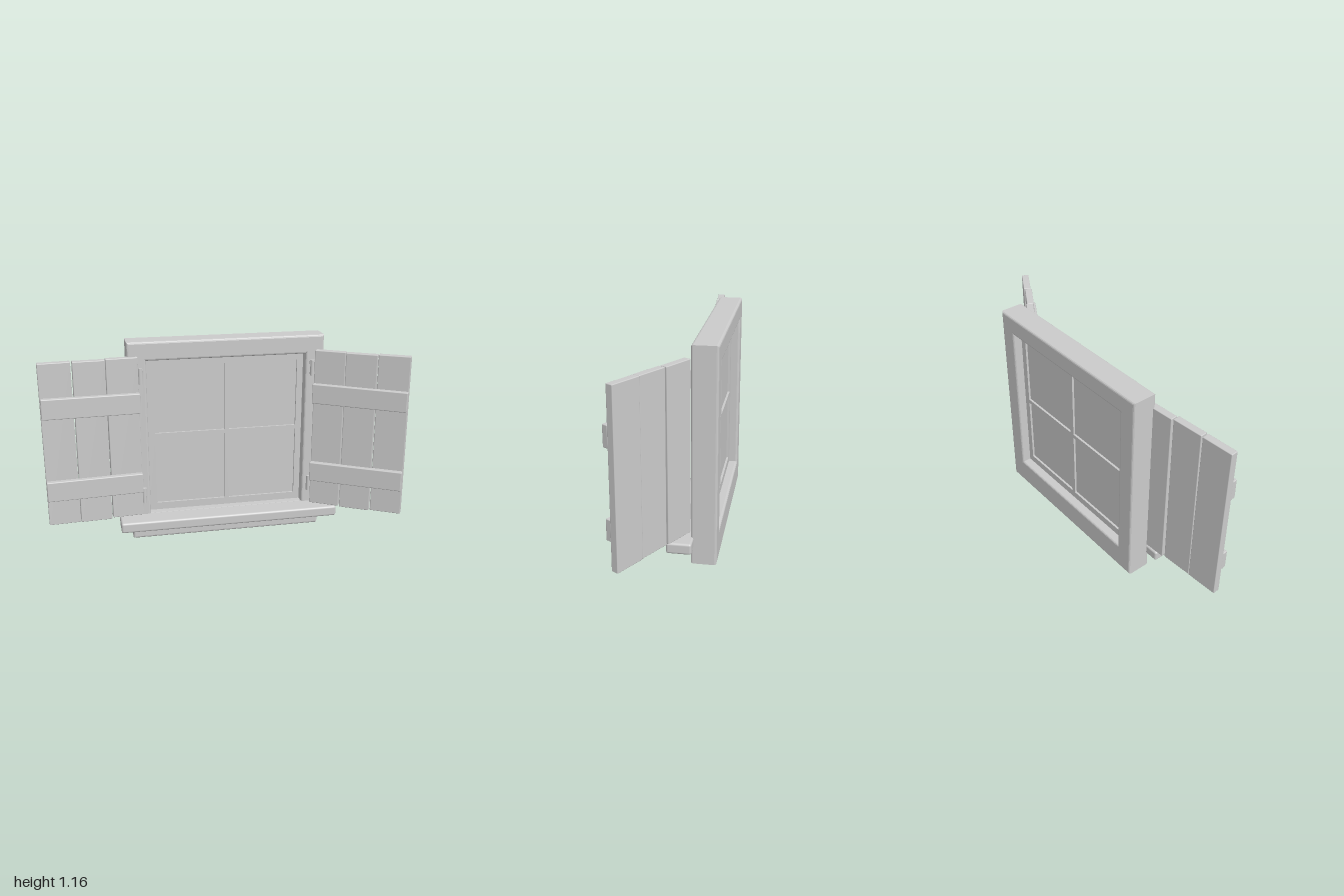
import * as THREE from 'three';
import { RoundedBoxGeometry } from 'three/addons/geometries/RoundedBoxGeometry.js';

const material = new THREE.MeshStandardMaterial({ color: 0xcccccc });

function add(parent, name, geometry, x = 0, y = 0, z = 0) {
  const mesh = new THREE.Mesh(geometry, material);
  mesh.name = name;
  mesh.position.set(x, y, z);
  parent.add(mesh);
  return mesh;
}

function rect(Type, x0, x1, y0, y1) {
  const r = new Type();
  r.moveTo(x0, y0);
  r.lineTo(x1, y0);
  r.lineTo(x1, y1);
  r.lineTo(x0, y1);
  r.closePath();
  return r;
}

// Flat panel with rectangular holes, its front and back edges rounded by bevel
function panel(outline, holes, depth, bevel) {
  const shape = rect(THREE.Shape, ...outline);
  holes.forEach((h) => shape.holes.push(rect(THREE.Path, ...h)));
  const geometry = new THREE.ExtrudeGeometry(shape, {
    depth: depth - 2 * bevel, bevelEnabled: bevel > 0,
    bevelThickness: bevel, bevelSize: bevel, bevelOffset: -bevel, bevelSegments: 3,
  });
  return geometry.translate(0, 0, bevel);
}

// Plank shutter; side is +1 or -1, the direction it reaches out from its hinge
function shutter(side, x, z, degrees, planks) {
  const group = new THREE.Group();
  group.position.set(x, 0, z);
  group.rotation.y = -side * THREE.MathUtils.degToRad(degrees);

  planks.forEach(({ offset, tilt, lift }, i) => {
    const plank = add(group, 'shutterPlank', new RoundedBoxGeometry(0.174, 0.922, 0.04, 2, 0.004),
      side * (0.088 + i * 0.179), 0.617 + lift, 0.02 + offset);
    plank.rotation.z = tilt;
  });
  for (const [y, tilt] of [[0.365, 0.002], [0.833, -0.008]]) {
    const batten = add(group, 'shutterBatten', new RoundedBoxGeometry(0.53, 0.113, 0.034, 2, 0.005),
      side * 0.266, y, 0.055);
    batten.rotation.z = tilt;
  }
  return group;
}

export function createModel() {
  const model = new THREE.Group();
  model.name = 'shutteredWindow';

  // Surround
  add(model, 'frame', panel([-0.525, 0.587, 0, 1.158], [[-0.42, 0.482, 0.15, 1.052]], 0.135, 0.012), 0, 0, -0.235);
  add(model, 'sill', new RoundedBoxGeometry(1.265, 0.06, 0.13, 3, 0.012), 0.0325, 0.12, -0.051);

  // Sash with four panes
  const panes = [];
  for (const xs of [[-0.377, 0.024], [0.051, 0.447]])
    for (const ys of [[0.192, 0.595], [0.618, 1.01]]) panes.push([...xs, ...ys]);
  add(model, 'sash', panel([-0.425, 0.487, 0.145, 1.057], panes, 0.032, 0), 0, 0, -0.185);
  add(model, 'glass', new THREE.BoxGeometry(0.86, 0.86, 0.008), 0.031, 0.601, -0.169);

  // Shutters, planks listed from the hinge outwards
  const right = shutter(-1, -0.467, -0.114, 3.8, [
    { offset: -0.006, tilt: 0.002, lift: 0.002 },
    { offset: 0.004, tilt: -0.003, lift: 0 },
    { offset: 0.002, tilt: 0.004, lift: 0.001 },
  ]);
  right.name = 'rightShutter';
  const left = shutter(1, 0.54, -0.095, 30.5, [
    { offset: 0, tilt: -0.002, lift: 0.001 },
    { offset: 0.006, tilt: 0.003, lift: 0 },
    { offset: 0, tilt: 0.005, lift: 0.002 },
  ]);
  left.name = 'leftShutter';
  model.add(right, left);

  // Hinges: a pin with a leaf against the frame
  for (const x of [-0.455, 0.52]) {
    for (const y of [0.27, 0.972]) {
      add(model, 'hingePin', new THREE.CylinderGeometry(0.012, 0.012, 0.09, 16), x, y, -0.094);
      add(model, 'hingeLeaf', new THREE.BoxGeometry(0.03, 0.075, 0.008), x, y, -0.1);
    }
  }
  return model;
}
